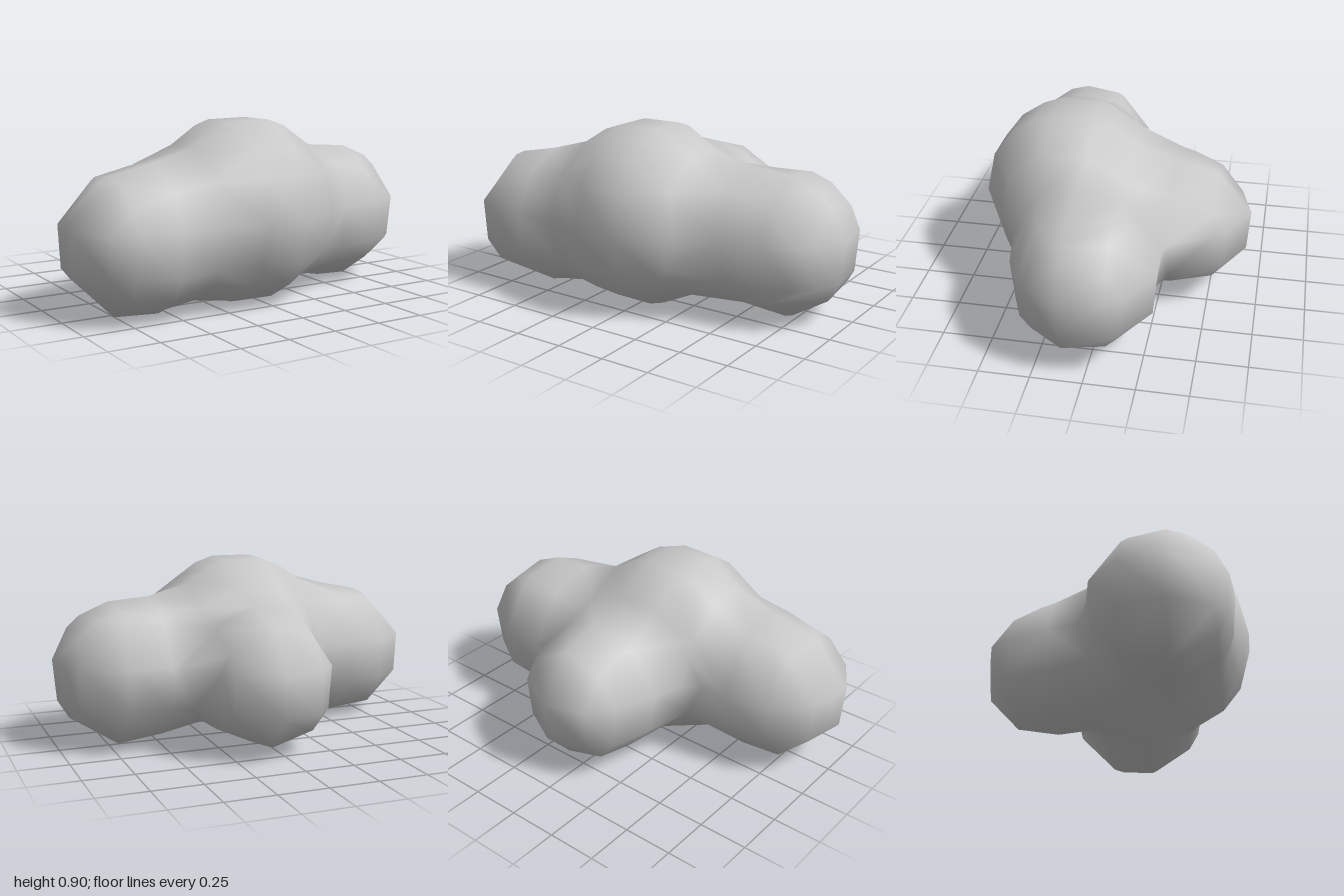
import * as THREE from 'three';

// Lobes of the soft blob: x, y, z, visible radius
const LOBES = [
  [-0.03, 0.458, 0.232, 0.47],   // main body
  [-0.662, 0.357, 0.287, 0.352], // right-hand lobe
  [0.647, 0.37, 0.05, 0.364],    // left-hand lobe
  [0.043, 0.362, -0.37, 0.332],  // rear lobe
];
// Each lobe's pull fades to nothing at its reach; a lone lobe shows at its radius
const THRESHOLD = 0.3;
const REACH = 1 / Math.sqrt(1 - Math.cbrt(THRESHOLD));

// Coarse sampling grid that gives the blob its broad facets
const STEP = 0.2125;
const ORIGIN = [-1.205, -0.19, -0.945];
const CELLS = [11, 6, 8];

// Strength of the blended lobes; optionally gathers the outward direction
function strength(p, outward) {
  let sum = 0;
  for (const [x, y, z, r] of LOBES) {
    const offset = new THREE.Vector3(p.x - x, p.y - y, p.z - z);
    const reach2 = (r * REACH) ** 2;
    const fade = Math.max(0, 1 - offset.lengthSq() / reach2);
    sum += fade ** 3;
    if (outward) outward.addScaledVector(offset, fade ** 2 / reach2);
  }
  return sum;
}

const isSolid = (p) => strength(p) > THRESHOLD;
const gridPoint = (c) => new THREE.Vector3(...c.map((n, i) => ORIGIN[i] + n * STEP));

// Corners of one cell face, anticlockwise seen from outside the cell
function faceCorners(cell, axis, side) {
  const u = (axis + 1) % 3;
  const v = (axis + 2) % 3;
  const corners = [[0, 0], [1, 0], [1, 1], [0, 1]].map(([a, b]) => {
    const c = [...cell];
    c[axis] += side;
    c[u] += a;
    c[v] += b;
    return c;
  });
  return side ? corners : corners.reverse();
}

// Polygonise the blob cell by cell, tracing the loop where it cuts each cell
function blobGeometry() {
  const positions = [];
  const normals = [];
  const indices = [];
  const shared = new Map();

  // Shared vertex where a grid edge meets the surface
  function crossing(inner, outer) {
    const key = `${inner}|${outer}`;
    if (!shared.has(key)) {
      const a = gridPoint(inner);
      const b = gridPoint(outer);
      for (let k = 0; k < 16; k++) {
        const mid = a.clone().lerp(b, 0.5);
        (isSolid(mid) ? a : b).copy(mid);
      }
      const normal = new THREE.Vector3();
      strength(a, normal);
      shared.set(key, positions.length / 3);
      positions.push(...a.toArray());
      normals.push(...normal.normalize().toArray());
    }
    return shared.get(key);
  }

  function addCell(cell) {
    const next = new Map();
    for (let axis = 0; axis < 3; axis++) {
      for (const side of [0, 1]) {
        const q = faceCorners(cell, axis, side);
        const inside = q.map((c) => isSolid(gridPoint(c)));
        for (let i = 0; i < 4; i++) {
          let j = (i + 1) % 4;
          if (inside[i] || !inside[j]) continue;
          const start = crossing(q[j], q[i]);
          while (inside[(j + 1) % 4]) j = (j + 1) % 4;
          next.set(start, crossing(q[j], q[(j + 1) % 4]));
        }
      }
    }
    while (next.size) {
      const loop = [];
      let v = next.keys().next().value;
      while (next.has(v)) {
        loop.push(v);
        const following = next.get(v);
        next.delete(v);
        v = following;
      }
      for (let i = 1; i < loop.length - 1; i++) indices.push(loop[0], loop[i], loop[i + 1]);
    }
  }

  for (let x = 0; x < CELLS[0]; x++) {
    for (let y = 0; y < CELLS[1]; y++) {
      for (let z = 0; z < CELLS[2]; z++) addCell([x, y, z]);
    }
  }

  const geometry = new THREE.BufferGeometry();
  geometry.setAttribute('position', new THREE.Float32BufferAttribute(positions, 3));
  geometry.setAttribute('normal', new THREE.Float32BufferAttribute(normals, 3));
  geometry.setIndex(indices);
  return geometry;
}

export function createModel() {
  const grey = new THREE.MeshStandardMaterial({ color: 0xc8c8c8 });
  grey.name = 'lightGrey';

  // Stand on the ground, centred
  const geometry = blobGeometry();
  geometry.computeBoundingBox();
  const { min, max } = geometry.boundingBox;
  geometry.translate(-(min.x + max.x) / 2, -min.y, -(min.z + max.z) / 2);

  const body = new THREE.Mesh(geometry, grey);
  body.name = 'blobBody';
  const group = new THREE.Group();
  group.name = 'blob';
  group.add(body);
  return group;
}
